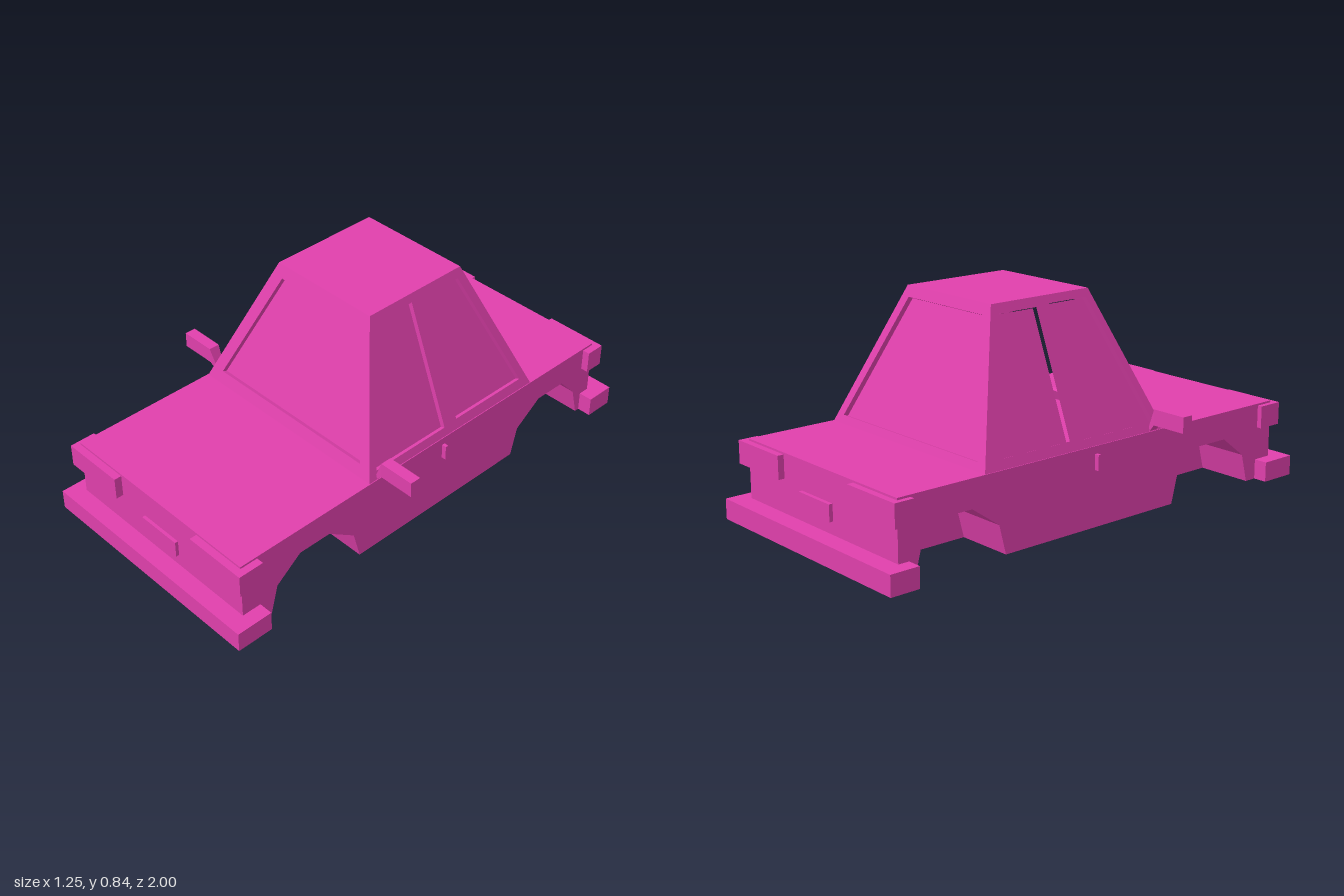
import * as THREE from 'three';

const material = new THREE.MeshStandardMaterial({ color: 0xe040ac, flatShading: true });

const BASE = 0.31, ROOF = 0.84; // cabin heights
const RECESS = 0.02; // depth of the windows

function shapeOf(points) {
  return new THREE.Shape(points.map(([x, y]) => new THREE.Vector2(x, y)));
}

export function createModel() {
  const car = new THREE.Group();
  car.name = 'car';

  function add(name, geometry, parent = car) {
    const mesh = new THREE.Mesh(geometry, material);
    mesh.name = name;
    parent.add(mesh);
    return mesh;
  }

  // Box given by its limits on each axis
  function block(name, [x0, x1], [y0, y1], [z0, z1]) {
    const g = new THREE.BoxGeometry(Math.abs(x1 - x0), y1 - y0, Math.abs(z1 - z0));
    g.translate((x0 + x1) / 2, (y0 + y1) / 2, (z0 + z1) / 2);
    return add(name, g);
  }

  // Body: a solid core with side slabs cut by the wheel arches
  block('bodyCore', [-0.22, 0.22], [0, BASE], [-0.925, 0.93]);
  const sideProfile = shapeOf([
    [-0.925, 0], [-0.86, 0], [-0.83, 0.115], [-0.75, 0.2], [-0.61, 0.2], [-0.49, 0.115], [-0.46, 0],
    [0.37, 0], [0.40, 0.115], [0.52, 0.2], [0.66, 0.2], [0.77, 0.115], [0.80, 0],
    [0.93, 0], [0.93, BASE], [-0.925, BASE],
  ]);
  for (const [side, x] of [['left', 0.22], ['right', -0.453]]) {
    const g = new THREE.ExtrudeGeometry(sideProfile, { depth: 0.233, bevelEnabled: false });
    g.rotateY(-Math.PI / 2); // profile z along +z, depth along -x
    g.translate(x + 0.233, 0, 0);
    add(side + 'BodySide', g);
  }

  // Cabin: four sloping panels with recessed windows, and a roof
  const cabin = new THREE.Group();
  cabin.name = 'cabin';
  car.add(cabin);

  // across: horizontal direction; base: outward offset; lean: inward run at roof;
  // outline and windows are in (across, height)
  function panel(name, across, base, lean, outline, windows) {
    const outward = new THREE.Vector3().crossVectors(across, new THREE.Vector3(0, 1, 0));
    const rise = ROOF - BASE;
    const up = new THREE.Vector3(0, rise, 0).addScaledVector(outward, -lean).normalize();
    const normal = new THREE.Vector3().crossVectors(across, up);
    const origin = outward.clone().multiplyScalar(base).setY(BASE);
    const frame = new THREE.Matrix4().makeBasis(across, up, normal).setPosition(origin);
    const stretch = Math.hypot(rise, lean) / rise;
    const slope = (pts) => pts.map(([h, y]) => [h, (y - BASE) * stretch]);

    const shape = shapeOf(slope(outline));
    const glass = windows.map((w) => shapeOf(slope(w)));
    shape.holes.push(...glass);
    const g = new THREE.ExtrudeGeometry(shape, { depth: RECESS, bevelEnabled: false });
    add(name + 'Frame', g.translate(0, 0, -RECESS).applyMatrix4(frame), cabin);
    const pane = new THREE.ShapeGeometry(glass);
    add(name + 'Window', pane.translate(0, 0, -RECESS).applyMatrix4(frame), cabin);
  }

  const endOutline = [[-0.45, BASE], [0.45, BASE], [0.24, ROOF], [-0.24, ROOF]];
  panel('front', new THREE.Vector3(1, 0, 0), 0.32, 0.2, endOutline,
    [[[-0.38, 0.355], [0.383, 0.355], [0.208, 0.793], [-0.205, 0.793]]]);
  panel('rear', new THREE.Vector3(-1, 0, 0), 0.55, 0.205, endOutline,
    [[[-0.4, 0.34], [0.395, 0.34], [0.215, 0.8], [-0.215, 0.8]]]);

  const sideOutline = [[0.32, BASE], [-0.55, BASE], [-0.345, ROOF], [0.12, ROOF]];
  const sideWindows = [
    [[0.275, 0.34], [-0.08, 0.34], [-0.08, 0.81], [0.1, 0.81]],
    [[-0.145, 0.345], [-0.5, 0.345], [-0.32, 0.805], [-0.145, 0.805]],
  ];
  for (const [name, s] of [['left', 1], ['right', -1]]) {
    const flip = (pts) => pts.map(([z, y]) => [-s * z, y]);
    panel(name, new THREE.Vector3(0, 0, -s), 0.45, 0.21, flip(sideOutline), sideWindows.map(flip));
  }
  const roof = new THREE.PlaneGeometry(0.48, 0.465).rotateX(-Math.PI / 2);
  add('roof', roof.translate(0, ROOF, -0.1125), cabin);

  // Bumpers, plates and lamps at both ends
  block('frontBumper', [-0.51, 0.51], [0, 0.08], [0.85, 1]);
  block('rearBumper', [-0.51, 0.51], [0, 0.08], [-1, -0.88]);
  block('frontPlate', [-0.08, 0.108], [0.13, 0.195], [0.92, 0.943]);
  block('rearPlate', [-0.08, 0.108], [0.13, 0.195], [-0.94, -0.915]);
  for (const [side, x] of [['left', [0.22, 0.483]], ['right', [-0.473, -0.207]]]) {
    block(side + 'Headlight', x, [0.212, 0.302], [0.855, 0.96]);
    block(side + 'TailLight', x, [0.212, 0.302], [-0.95, -0.87]);
  }

  // Door handles
  block('leftHandle', [0.44, 0.472], [0.22, 0.28], [-0.068, -0.055]);
  block('rightHandle', [-0.472, -0.44], [0.22, 0.28], [-0.036, -0.023]);

  // Mirrors, each on an arm that tapers down to the door
  for (const [side, s] of [['left', 1], ['right', -1]]) {
    block(side + 'Mirror', [s * 0.475, s * 0.623], [0.34, 0.402], [0.242, 0.287]);
    const g = new THREE.BoxGeometry(1, 1, 1);
    const p = g.attributes.position;
    for (let i = 0; i < p.count; i++) {
      const outer = p.getX(i) * s > 0, top = p.getY(i) > 0, front = p.getZ(i) > 0;
      p.setXYZ(i,
        s * (outer ? 0.475 : 0.442),
        outer ? (top ? 0.402 : 0.34) : (top ? 0.325 : 0.305),
        outer ? (front ? 0.287 : 0.242) : (front ? 0.28 : 0.249));
    }
    g.computeVertexNormals();
    add(side + 'MirrorArm', g);
  }

  return car;
}
